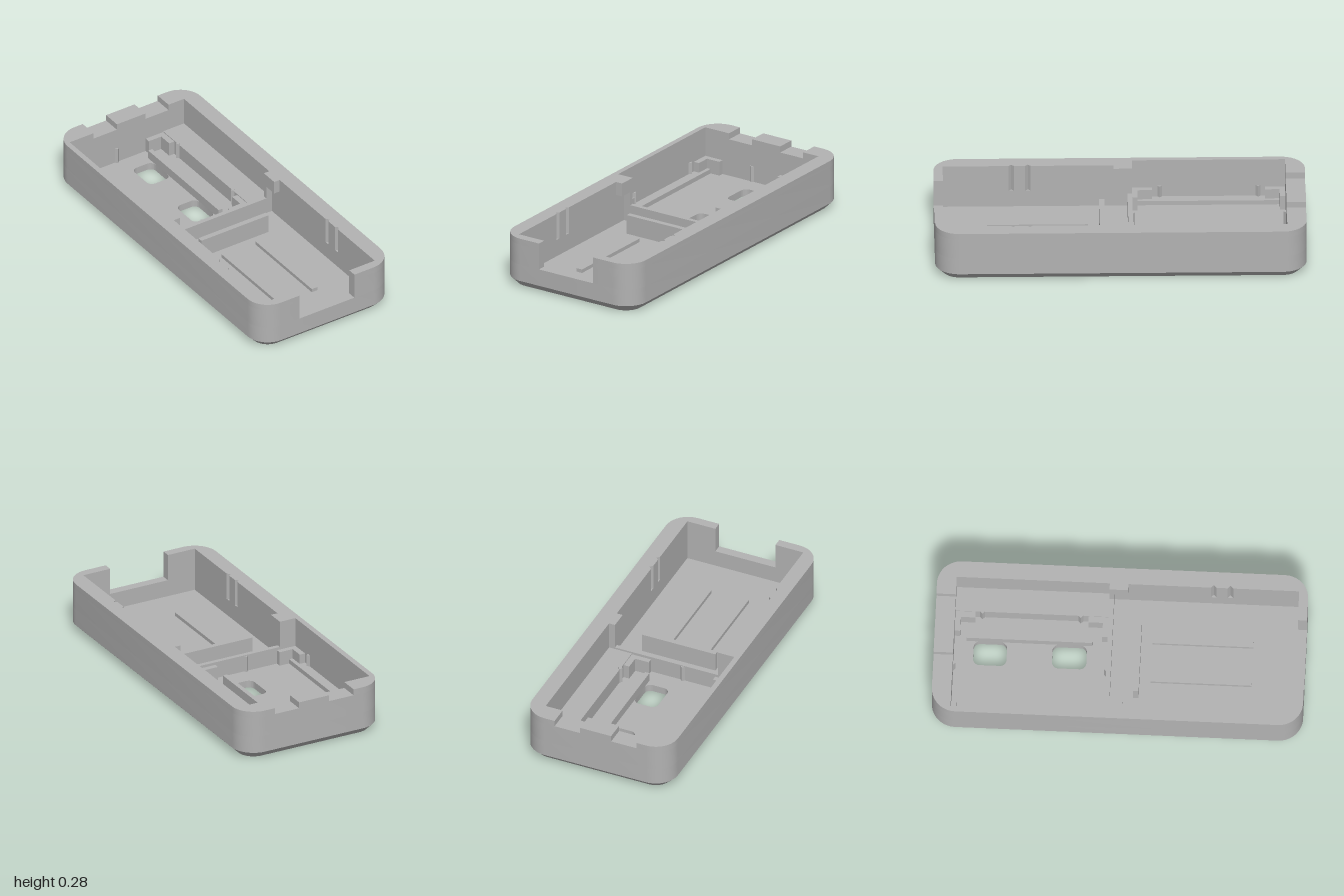
import * as THREE from 'three';
import { toCreasedNormals } from 'three/addons/utils/BufferGeometryUtils.js';

const W = 0.43, L = 1, R = 0.13;      // half width, half length, corner radius
const FLOOR = 0.04, SILL = 0.135, LIP = 0.25, TOP = 0.285;

export function createModel() {
  const model = new THREE.Group();
  const grey = new THREE.MeshStandardMaterial({ color: 0xb2b2b2 });
  grey.name = 'grey plastic';

  const add = (name, geo) => {
    const mesh = new THREE.Mesh(geo, grey);
    mesh.name = name;
    model.add(mesh);
    return mesh;
  };
  // Box given by its limits
  const box = (name, x0, x1, y0, y1, z0, z1) => {
    const geo = new THREE.BoxGeometry(x1 - x0, y1 - y0, z1 - z0);
    geo.translate((x0 + x1) / 2, (y0 + y1) / 2, (z0 + z1) / 2);
    return add(name, geo);
  };
  // Plan shape (x, z) raised from y0 to y1
  const raise = (shape, y0, y1) => {
    const geo = new THREE.ExtrudeGeometry(shape, { depth: y1 - y0, bevelEnabled: false, curveSegments: 10 });
    geo.rotateX(Math.PI / 2);
    geo.translate(0, y1, 0);
    return geo;
  };
  const roundRect = (path, x0, x1, z0, z1, r) => {
    path.moveTo(x1, z0 + r);
    path.lineTo(x1, z1 - r).absarc(x1 - r, z1 - r, r, 0, Math.PI / 2);
    path.lineTo(x0 + r, z1).absarc(x0 + r, z1 - r, r, Math.PI / 2, Math.PI);
    path.lineTo(x0, z0 + r).absarc(x0 + r, z0 + r, r, Math.PI, Math.PI * 1.5);
    path.lineTo(x1 - r, z0).absarc(x1 - r, z0 + r, r, Math.PI * 1.5, Math.PI * 2);
    return path;
  };

  // Base plate with two slots; its lower outer edge is drawn in to a chamfer
  const base = roundRect(new THREE.Shape(), -W, W, -L, L, R);
  for (const [z0, z1] of [[-0.79, -0.61], [-0.365, -0.18]]) {
    base.holes.push(roundRect(new THREE.Path(), -0.07, 0.065, z0, z1, 0.035));
  }
  const baseGeo = raise(base, 0, FLOOR);
  const p = baseGeo.attributes.position;
  for (let i = 0; i < p.count; i++) {
    const x = p.getX(i), z = p.getZ(i);
    const inSlot = Math.abs(x) < 0.1 && Math.abs(z) < 0.9;
    if (p.getY(i) > 0.001 || inSlot) continue;
    const cx = Math.sign(x) * (W - R), cz = Math.sign(z) * (L - R);
    const k = (R - 0.04) / R;
    p.setX(i, cx + (x - cx) * k);
    p.setZ(i, cz + (z - cz) * k);
  }
  add('basePlate', toCreasedNormals(baseGeo, 0.5));

  // One side of the wall ring, from x = xf at the front to x = xb at the back
  const wallSide = (name, s, xf, xb, y0, y1, grooves) => {
    const pts = [[xf, L]];
    for (const [cz, start] of [[L - R, Math.PI / 2], [-(L - R), 0]]) {
      for (let i = 0; i <= 10; i++) {
        const a = start - (i / 10) * Math.PI / 2;
        pts.push([s * (W - R + R * Math.cos(a)), cz + R * Math.sin(a)]);
      }
    }
    const xi = s > 0 ? 0.34 : 0.345, rear = s > 0 ? 0.34 : 0.40;
    pts.push([xb, -L], [xb, -0.895], [s * rear, -0.895], [s * rear, -0.07],
      [s * 0.305, -0.07], [s * 0.305, -0.045], [s * xi, -0.045]);
    if (grooves) {
      for (const z of [0.49, 0.58]) {
        pts.push([s * xi, z - 0.015], [s * (xi + 0.015), z], [s * xi, z + 0.015]);
      }
    }
    pts.push([s * xi, 0.95], [xf, 0.95]);
    const shape = new THREE.Shape(pts.map(([x, z]) => new THREE.Vector2(x, z)));
    add(name, toCreasedNormals(raise(shape, y0, y1), 0.5));
  };
  for (const s of [1, -1]) {
    const side = s > 0 ? 'left' : 'right';
    const gap = s > 0 ? 0.175 : -0.18;
    wallSide(side + 'LowerWall', s, 0, 0, FLOOR, SILL, false);
    wallSide(side + 'MiddleWall', s, gap, 0, SILL, LIP, true);
    wallSide(side + 'UpperWall', s, gap, s > 0 ? 0.24 : -0.245, LIP, TOP, true);
    // Overhanging tab on the pillar
    const [a, b] = s > 0 ? [0.305, 0.341] : [-0.346, -0.305];
    box(side + 'PillarTab', a, b, 0.21, TOP, -0.046, 0.03);
  }
  box('rearTab', -0.094, 0.09, LIP, TOP, -L, -0.895);

  // Cross walls and floor rails
  box('rearDivider', -0.306, 0.306, FLOOR, 0.135, -0.07, -0.045);
  box('frontDivider', -0.22, 0.215, FLOOR, 0.148, 0.08, 0.11);
  box('frontRail', -0.13, -0.095, FLOOR, 0.06, 0.17, 0.715);
  box('frontRail', 0.09, 0.127, FLOOR, 0.06, 0.17, 0.715);
  box('rearRail', 0.065, 0.09, FLOOR, 0.09, -0.83, -0.15);

  // Shelf and ledge either side of the rear tray
  box('sideShelf', 0.205, 0.341, FLOOR, 0.125, -0.896, -0.069);
  box('sideLedge', -0.401, -0.345, FLOOR, 0.065, -0.896, -0.069);

  // L-shaped brackets at the tray corners
  for (const [x, sx] of [[-0.40, 1], [0.205, -1]]) {
    for (const [z, sz] of [[-0.895, 1], [-0.07, -1]]) {
      const arms = [[0, 0], [0.113, 0], [0.113, 0.03], [0.033, 0.03], [0.033, 0.108], [0, 0.108]];
      const shape = new THREE.Shape(arms.map(([u, v]) => new THREE.Vector2(x + sx * u, z + sz * v)));
      add('cornerBracket', raise(shape, FLOOR, 0.12));
    }
  }

  // Small retaining nubs along the tray edges
  const nubs = [[-0.40, -0.75], [-0.40, -0.22], [0.205, -0.75], [0.205, -0.22], [-0.095, -0.895], [-0.095, -0.07]];
  for (const [x, z] of nubs) {
    const geo = new THREE.CylinderGeometry(0.013, 0.013, 0.09, 4).toNonIndexed();
    geo.computeVertexNormals();
    add('nub', geo).position.set(x, FLOOR + 0.045, z);
  }
  return model;
}
